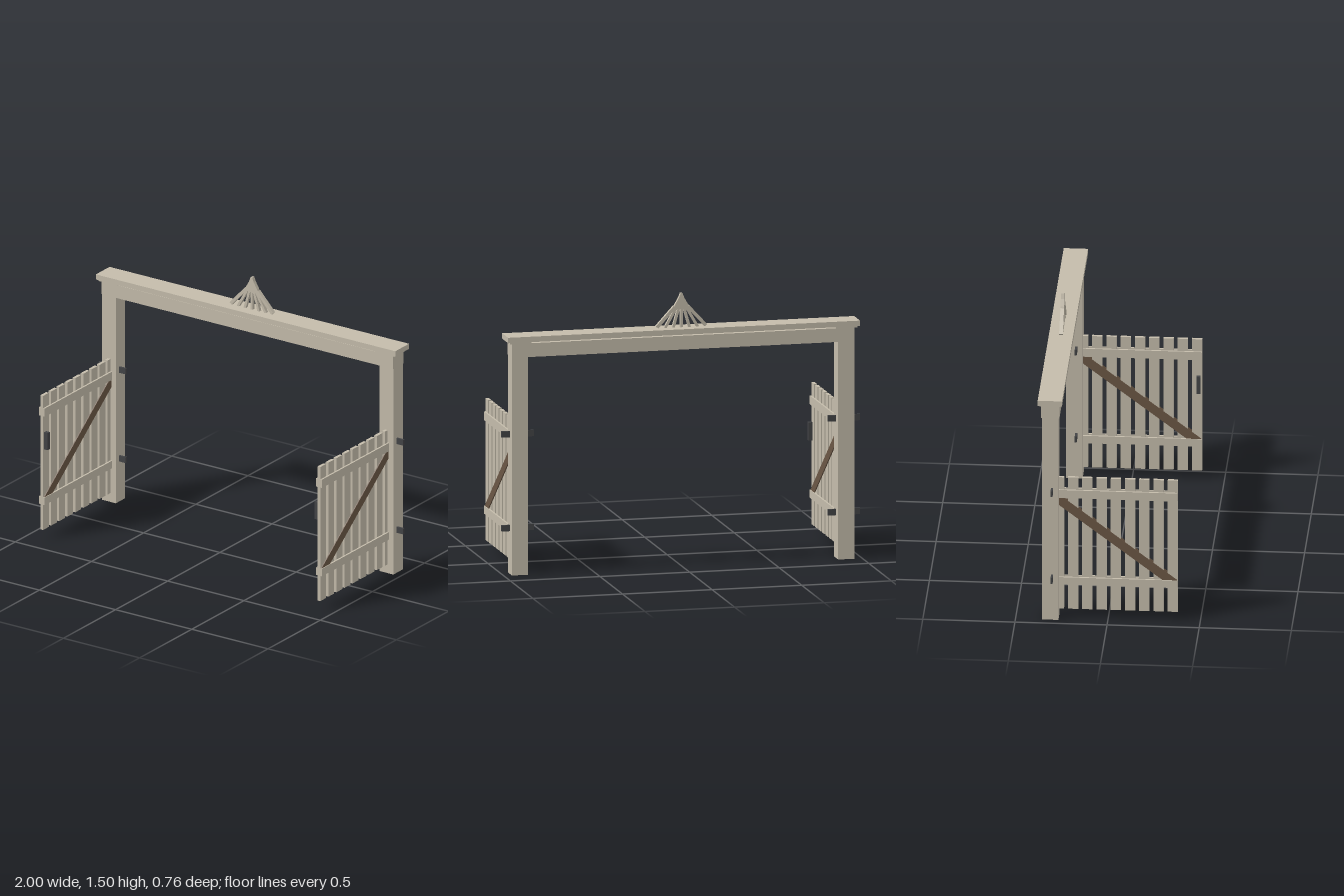
import * as THREE from 'three';

const wood = new THREE.MeshStandardMaterial({ color: 0xc4bcab, name: 'pale wood' });
const brown = new THREE.MeshStandardMaterial({ color: 0x6b5745, name: 'brown brace wood' });
const iron = new THREE.MeshStandardMaterial({ color: 0x434446, name: 'dark iron' });

const POST_X = 0.91, POST_Z = -0.312;

// Box given by its minimum and maximum corners
function box(name, mat, [x0, y0, z0], [x1, y1, z1]) {
  const mesh = new THREE.Mesh(new THREE.BoxGeometry(x1 - x0, y1 - y0, z1 - z0), mat);
  mesh.position.set((x0 + x1) / 2, (y0 + y1) / 2, (z0 + z1) / 2);
  mesh.name = name;
  return mesh;
}

// Flat plate cut from an outline, centred on its thickness
function plate(name, mat, points, depth) {
  const shape = new THREE.Shape(points.map(([x, y]) => new THREE.Vector2(x, y)));
  const geo = new THREE.ExtrudeGeometry(shape, { depth, bevelEnabled: false });
  geo.translate(0, 0, -depth / 2);
  const mesh = new THREE.Mesh(geo, mat);
  mesh.name = name;
  return mesh;
}

// Open gate leaf: pickets between paired rails, a brace on each face, and a handle inside
function createGate(side) {
  const gate = new THREE.Group();
  gate.name = side > 0 ? 'leftGate' : 'rightGate';
  const cx = side * 0.909;

  for (let i = 0; i < 9; i++) {
    const z = 0.351 - i * 0.0773;
    gate.add(box('picket', wood, [cx - 0.009, 0.052, z - 0.028], [cx + 0.009, 0.835, z + 0.028]));
  }

  for (const face of [-1, 1]) {
    const inner = cx + face * 0.009, outer = cx + face * 0.019;
    const lo = Math.min(inner, outer), hi = Math.max(inner, outer);
    gate.add(box('lowerRail', wood, [lo, 0.199, -0.29], [hi, 0.243, 0.378]));
    gate.add(box('upperRail', wood, [lo, 0.715, -0.29], [hi, 0.763, 0.378]));

    // Diagonal brace, cut flush with the rails
    const brace = plate('brace', brown,
      [[-0.375, 0.243], [-0.295, 0.243], [0.323, 0.715], [0.243, 0.715]], 0.006);
    brace.rotation.y = Math.PI / 2;
    brace.position.x = cx + face * 0.012;
    gate.add(brace);
  }

  const hx = side * 0.888;
  gate.add(box('handle', iron, [hx - 0.012, 0.52, 0.35], [hx + 0.012, 0.62, 0.371]));
  return gate;
}

// Fan ornament: flared crown with seven rays
function createFan() {
  const fan = new THREE.Group();
  fan.name = 'fanOrnament';
  fan.add(plate('fanCrown', wood, [
    [-0.005, 1.505], [-0.016, 1.478], [-0.037, 1.442], [-0.045, 1.425], [-0.02, 1.42],
    [0, 1.415], [0.02, 1.42], [0.045, 1.425], [0.037, 1.442], [0.016, 1.478], [0.005, 1.505],
  ], 0.02));
  for (let i = -3; i <= 3; i++) {
    const outer = Math.abs(i) === 3;
    const top = new THREE.Vector2(i * 0.0125, outer ? 1.43 : 1.432);
    const foot = new THREE.Vector2(i * 0.0455, outer ? 1.322 : 1.316);
    const dir = foot.clone().sub(top).normalize();
    const w = outer ? 0.009 : 0.007;
    const nx = -dir.y * w, ny = dir.x * w;
    fan.add(plate('fanRay', wood, [
      [top.x - nx, top.y - ny], [foot.x - nx, foot.y - ny],
      [foot.x + nx, foot.y + ny], [top.x + nx, top.y + ny],
    ], outer ? 0.02 : 0.018));
  }
  fan.position.z = POST_Z;
  return fan;
}

export function createModel() {
  const model = new THREE.Group();
  model.name = 'gateway';

  // Posts, their pads, hinges and gates
  for (const side of [-1, 1]) {
    const x = side * POST_X;
    model.add(box('post', wood, [x - 0.045, 0, POST_Z - 0.045], [x + 0.045, 1.24, POST_Z + 0.045]));
    model.add(box('postPad', wood, [x - 0.06, 1.278, POST_Z - 0.057], [x + 0.06, 1.288, POST_Z + 0.057]));
    for (const y of [0.252, 0.77]) {
      model.add(box('hinge', iron, [x - 0.09, y - 0.017, -0.307], [x + 0.09, y + 0.017, -0.296]));
    }
    model.add(createGate(side));
  }

  // Cross beam and the wide board above it
  model.add(box('crossBeam', wood, [-0.956, 1.202, POST_Z - 0.05], [0.956, 1.278, POST_Z + 0.05]));
  model.add(box('topBoard', wood, [-0.982, 1.287, POST_Z - 0.066], [0.982, 1.317, POST_Z + 0.066]));
  model.add(createFan());
  return model;
}
